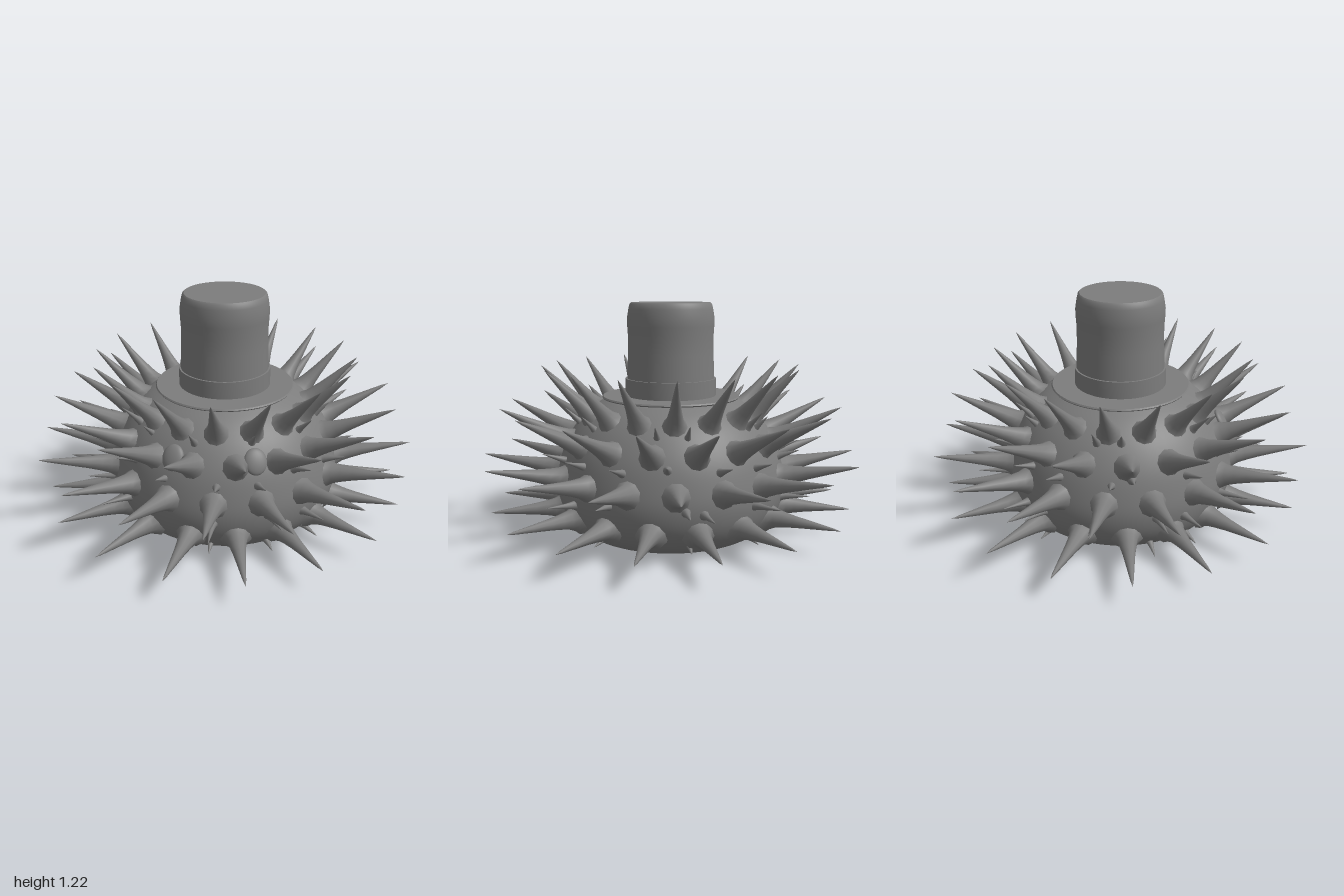
import * as THREE from 'three';
import { toCreasedNormals } from 'three/addons/utils/BufferGeometryUtils.js';

const material = new THREE.MeshStandardMaterial({ color: 0x7c7c7c });

const lathe = (points, segments = 64) =>
  toCreasedNormals(new THREE.LatheGeometry(points.map(p => new THREE.Vector2(...p)), segments), 0.6);

function part(name, geometry, parent) {
  const mesh = new THREE.Mesh(geometry, material);
  mesh.name = name;
  parent.add(mesh);
  return mesh;
}

// unit spine along +y with a flared foot; x/z scale is the foot radius, y scale the length
const spineGeometry = new THREE.LatheGeometry(
  [[1.6, 0], [1.22, 0.06], [0.94, 0.14], [0.76, 0.25], [0.58, 0.4], [0.36, 0.65], [0.14, 0.9], [0, 1]]
    .map(p => new THREE.Vector2(...p)), 10);

// from and to are [radius, height] in the plane at the given angle
function addSpine(name, parent, angle, from, to, radius) {
  const place = ([r, y]) => new THREE.Vector3(r * Math.cos(angle), y, r * Math.sin(angle));
  const start = place(from);
  const dir = place(to).sub(start);
  const spine = part(name, spineGeometry, parent);
  spine.position.copy(start);
  spine.scale.set(radius, dir.length(), radius);
  spine.quaternion.setFromUnitVectors(new THREE.Vector3(0, 1, 0), dir.normalize());
}

function seeded(seed) {
  return () => (seed = (seed * 16807) % 2147483647) / 2147483647;
}

export function createModel() {
  const model = new THREE.Group();

  // squat rounded body with a slightly hollow underside
  const bodyCurve = new THREE.SplineCurve([
    [0, 0.035], [0.15, 0.03], [0.3, 0.013], [0.4, 0.001], [0.47, 0.02], [0.54, 0.075],
    [0.59, 0.16], [0.61, 0.26], [0.6, 0.36], [0.565, 0.48], [0.5, 0.59], [0.42, 0.67], [0.34, 0.72],
  ].map(p => new THREE.Vector2(...p)));
  part('body', lathe([...bodyCurve.getPoints(48).map(p => [p.x, Math.max(p.y, 0)]), [0, 0.725]]), model);

  // four rows of sixteen long spines, alternate rows staggered
  const step = Math.PI / 8;
  const stagger = 5.4 * Math.PI / 180;
  const rows = [
    { from: [0.57, 0.155], to: [0.96, 0.145], radius: 0.053, offset: -stagger },
    { from: [0.575, 0.335], to: [1.0, 0.42], radius: 0.056, offset: stagger },
    { from: [0.515, 0.5], to: [0.895, 0.69], radius: 0.056, offset: -stagger },
    { from: [0.43, 0.63], to: [0.685, 0.895], radius: 0.05, offset: stagger },
  ];
  const longSpines = new THREE.Group();
  longSpines.name = 'longSpines';
  for (const row of rows) {
    for (let i = 0; i < 16; i++) {
      addSpine('longSpine', longSpines, i * step + row.offset, row.from, row.to, row.radius);
    }
  }
  model.add(longSpines);

  // short thin spines scattered unevenly between the rows
  const random = seeded(71);
  const shortSpines = new THREE.Group();
  shortSpines.name = 'shortSpines';
  const shortRows = [
    { from: [0.52, 0.085], to: [0.64, 0.045], count: 12, spread: 0.02 },
    { from: [0.59, 0.245], to: [0.78, 0.26], count: 16, spread: 0.08 },
    { from: [0.56, 0.44], to: [0.7, 0.49], count: 16, spread: 0.05 },
    { from: [0.47, 0.59], to: [0.58, 0.7], count: 12, spread: 0.03 },
  ];
  for (const { from, to, count, spread } of shortRows) {
    for (let i = 0; i < count; i++) {
      const angle = (i + 0.7 * random()) * 2 * Math.PI / count;
      const reach = 0.65 + 0.4 * random();
      const shift = (random() - 0.5) * spread;
      const tip = from.map((v, k) => v + (to[k] - v) * reach);
      addSpine('shortSpine', shortSpines, angle, [from[0], from[1] + shift], [tip[0], tip[1] + shift], 0.022);
    }
  }
  model.add(shortSpines);

  // flattened oval eyes lying on the front of the body
  for (const [name, x] of [['leftEye', 0.145], ['rightEye', -0.25]]) {
    const eye = part(name, new THREE.SphereGeometry(1, 24, 16), model);
    const z = Math.sqrt(0.54 ** 2 - x * x);
    eye.position.set(x, 0.535, z);
    eye.scale.set(0.057, 0.066, 0.025);
    eye.rotation.set(-0.5, Math.atan2(x, z), 0, 'YXZ');
  }

  // hat: wide thin brim, low band and nearly straight crown
  const hat = new THREE.Group();
  hat.name = 'hat';
  part('hatBrim', lathe([[0, 0.715], [0.36, 0.722], [0.365, 0.728], [0.36, 0.735], [0, 0.737]]), hat);
  part('hatBand', lathe([[0.241, 0.73], [0.24, 0.826], [0.2, 0.828]]), hat);
  part('hatCrown', lathe([
    [0.233, 0.73], [0.231, 0.85], [0.226, 0.95], [0.225, 1.04], [0.229, 1.1], [0.23, 1.14],
    [0.222, 1.19], [0.216, 1.214], [0.208, 1.222], [0, 1.222],
  ]), hat);
  model.add(hat);

  return model;
}
